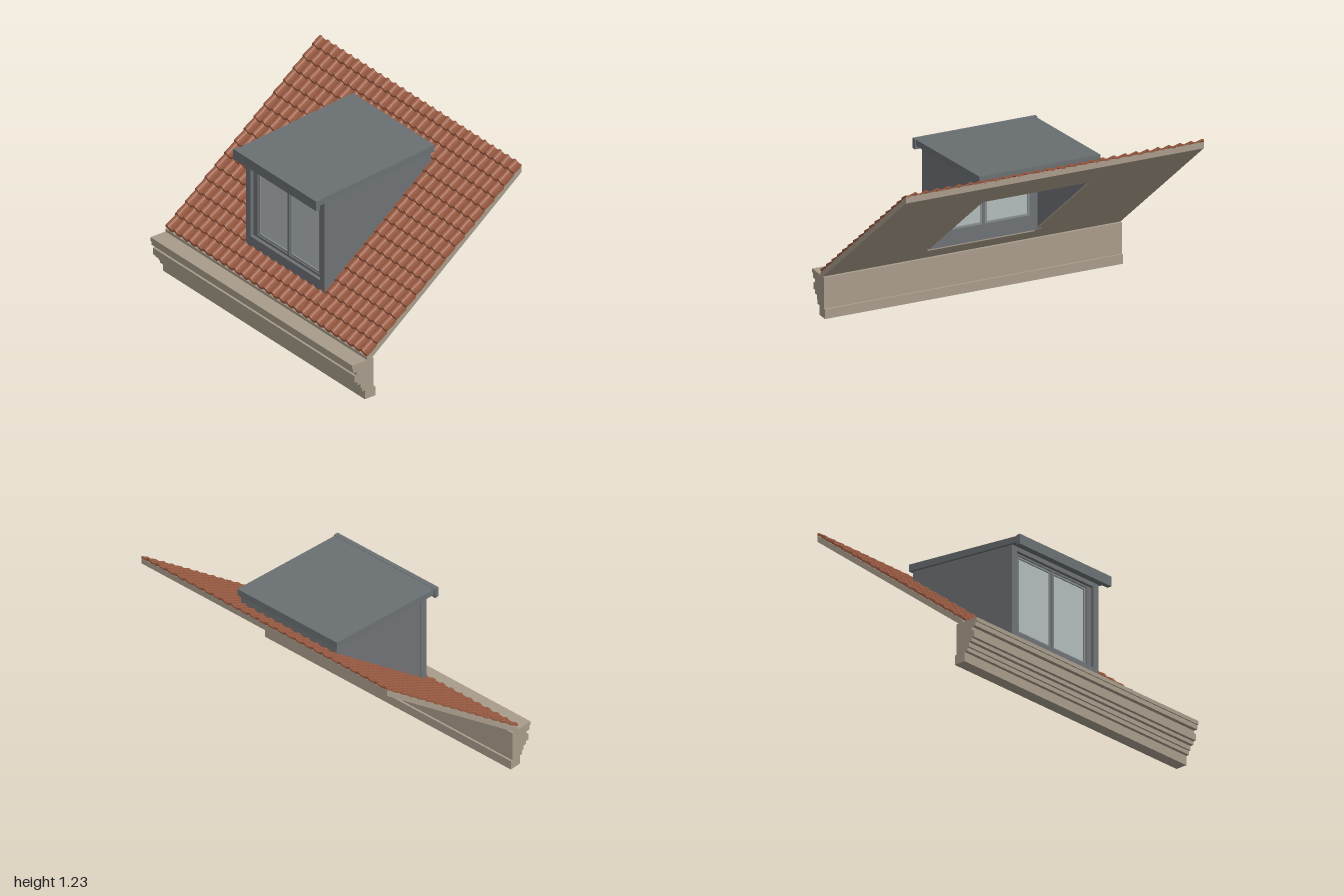
import * as THREE from 'three';

const mat = (name, color, side = THREE.FrontSide) => {
  const m = new THREE.MeshStandardMaterial({ color, side });
  m.name = name;
  return m;
};

const SLOPE = 0.787;
const roofTop = z => 0.70 - SLOPE * z;     // upper face of the roof deck
const roofUnder = z => 0.658 - SLOPE * z;  // lower face of the roof deck

// One pantile profile: [position across the tile, height], with a lap step at the seam
const PROFILE = [[0, 0.6], [0.1, 0.92], [0.2, 1], [0.32, 0.78], [0.45, 0.28], [0.6, 0.02], [0.76, 0], [0.9, 0.12], [1, 0.3]];
const COLUMNS = 27, TILE_W = 2 / COLUMNS, WAVE = 0.013, THICK = 0.016;

function profileHeight(u) {
  let i = 1;
  while (i < PROFILE.length - 1 && PROFILE[i][0] < u) i++;
  const [a, ha] = PROFILE[i - 1], [b, hb] = PROFILE[i];
  return ha + (hb - ha) * (u - a) / (b - a);
}

// Strip of tiles from x0 to x1, cut between zBack and zFront, tilted within its own row
function tileStrip(x0, x1, zBack, zFront, rowFront, pitch) {
  const edge = x => {
    const c = (x + 1) / TILE_W;
    return [x, profileHeight(c - Math.floor(c + 1e-6))];
  };
  const line = [edge(x0)];
  if (x1 > 0.999) line[0] = x0 < -0.999 ? [-1, PROFILE[0][1]] : line[0];
  for (let c = 0; c < COLUMNS; c++) {
    for (const [u, h] of PROFILE) {
      const x = -1 + (c + u) * TILE_W;
      if (x > x0 + 1e-4 && x < x1 - 1e-4) line.push([x, h]);
    }
  }
  line.push(x1 > 0.999 ? [1, 0.3] : edge(x1));
  const top = line.map(([x, h]) => new THREE.Vector2(x, (h - 1) * WAVE));
  const bottom = top.map(p => new THREE.Vector2(p.x, p.y - THICK)).reverse();
  const g = new THREE.ExtrudeGeometry(new THREE.Shape([...top, ...bottom]),
    { depth: zFront - zBack, bevelEnabled: false });
  g.translate(0, 0, zBack);
  const p = g.attributes.position;
  for (let i = 0; i < p.count; i++) {
    const z = p.getZ(i), t = 1 - (rowFront - z) / pitch;
    p.setY(i, p.getY(i) + roofTop(z) + 0.019 + 0.013 * t);
  }
  g.computeVertexNormals();
  return g;
}

// Prism along x from a [z, y] outline
function prismX(points, x0, x1) {
  const shape = new THREE.Shape(points.map(([z, y]) => new THREE.Vector2(-z, y)));
  const g = new THREE.ExtrudeGeometry(shape, { depth: x1 - x0, bevelEnabled: false });
  return g.rotateY(Math.PI / 2).translate(x0, 0, 0);
}

const rect = (Type, x0, y0, x1, y1) => new Type([[x0, y0], [x1, y0], [x1, y1], [x0, y1]].map(a => new THREE.Vector2(...a)));

// Rectangular frame facing +z; outer and inner are [x0, y0, x1, y1]
function frame(outer, inner, zBack, zFront) {
  const s = rect(THREE.Shape, ...outer);
  s.holes.push(rect(THREE.Path, ...inner));
  return new THREE.ExtrudeGeometry(s, { depth: zFront - zBack, bevelEnabled: false }).translate(0, 0, zBack);
}

function box(x0, x1, y0, y1, z0, z1) {
  return new THREE.BoxGeometry(x1 - x0, y1 - y0, z1 - z0)
    .translate((x0 + x1) / 2, (y0 + y1) / 2, (z0 + z1) / 2);
}

export function createModel() {
  const model = new THREE.Group();
  model.name = 'dormerRoof';
  const stone = mat('stone', 0xa89c8b);
  const clay = mat('clayTile', 0x9c5c43);
  const grey = mat('dormerGrey', 0x6f7276);
  const cover = mat('roofCoverGrey', 0x6a7073);
  const sashGrey = mat('sashGrey', 0x868d8f);
  const glass = mat('glass', 0xb3bbbb, THREE.DoubleSide);

  const group = name => {
    const g = new THREE.Group();
    g.name = name;
    model.add(g);
    return g;
  };
  const add = (parent, name, geometry, material) => {
    const m = new THREE.Mesh(geometry, material);
    m.name = name;
    parent.add(m);
  };

  // Stepped cornice under the eaves
  add(model, 'cornice', prismX([
    [0.645, 0.265], [0.645, 0.24], [0.637, 0.24], [0.637, 0.21], [0.61, 0.21], [0.61, 0.185],
    [0.625, 0.185], [0.625, 0.14], [0.605, 0.14], [0.605, 0.117], [0.582, 0.117], [0.582, 0.088],
    [0.57, 0.088], [0.57, 0.062], [0.548, 0.062], [0.548, 0], [0.468, 0], [0.468, 0.062],
    [0.482, 0.062], [0.482, 0.265],
  ], -1, 1), stone);

  // Roof deck around the dormer opening
  const deck = group('roofDeck');
  const back = -0.645, front = 0.53, holeBack = -0.39, holeFront = 0.375, holeX = 0.36;
  const eave = [[0.5, 0.265], [front, 0.265], [front, roofTop(front)]];
  const backEnd = [[back, roofTop(back)], [back, roofUnder(back)]];
  add(deck, 'deckRight', prismX([...eave, ...backEnd], -1, -holeX), stone);
  add(deck, 'deckLeft', prismX([...eave, ...backEnd], holeX, 1), stone);
  add(deck, 'deckFront', prismX([...eave, [holeFront, roofTop(holeFront)], [holeFront, roofUnder(holeFront)]], -holeX, holeX), stone);
  add(deck, 'deckBack', prismX([[holeBack, roofUnder(holeBack)], [holeBack, roofTop(holeBack)], ...backEnd], -holeX, holeX), stone);

  // Overlapping tile rows, left open under the dormer
  const tiles = group('roofTiles');
  const pitch = 0.0744, cutX = 0.375, cutBack = -0.41, cutFront = 0.375;
  for (let row = 0; row < 16; row++) {
    const z1 = front - row * pitch, z0 = Math.max(z1 - pitch, back);
    const strip = (x0, x1, a, b) => add(tiles, 'tileRow', tileStrip(x0, x1, a, b, z1, pitch), clay);
    if (z0 >= cutFront || z1 <= cutBack) {
      strip(-1, 1, z0, z1);
      continue;
    }
    strip(-1, -cutX, z0, z1);
    strip(cutX, 1, z0, z1);
    if (z1 > cutFront + 1e-3) strip(-cutX, cutX, cutFront, z1);
    if (z0 < cutBack - 1e-3) strip(-cutX, cutX, z0, cutBack);
  }

  // Dormer body
  const dormer = group('dormer');
  const ceiling = z => 1.035 + (0.44 - z) * 0.0875;
  const wallFoot = z => roofTop(z) - 0.03;
  const wall = [[0.372, wallFoot(0.372)], [0.372, ceiling(0.372)], [-0.425, ceiling(-0.425)], [-0.425, wallFoot(-0.425)]];
  add(dormer, 'rightWall', prismX(wall, -0.387, -0.36), grey);
  add(dormer, 'leftWall', prismX(wall, 0.36, 0.387), grey);
  add(dormer, 'backWall', prismX([[-0.425, 1.0], [-0.425, ceiling(-0.425)], [-0.392, ceiling(-0.392)], [-0.392, 0.98]], -0.36, 0.36), grey);
  add(dormer, 'dormerRoofSlab', prismX([[0.44, 1.035], [0.44, 1.075], [-0.44, 1.157], [-0.44, 1.112]], -0.405, 0.405), cover);
  add(dormer, 'fascia', box(-0.412, 0.412, 1.012, 1.078, 0.438, 0.468), cover);
  add(dormer, 'frontSurround', frame([-0.39, 0.39, 0.39, 1.041], [-0.345, 0.475, 0.345, 1.012], 0.332, 0.385), grey);

  // Window with two sashes
  const windowGroup = group('window');
  add(windowGroup, 'windowFrame', frame([-0.345, 0.475, 0.345, 1.012], [-0.306, 0.492, 0.306, 1.0], 0.33, 0.362), grey);
  add(windowGroup, 'mullion', box(-0.008, 0.008, 0.492, 1.0, 0.33, 0.362), grey);
  for (const side of [-1, 1]) {
    const a = side < 0 ? -0.306 : 0.008, b = a + 0.298;
    add(windowGroup, 'sash', frame([a, 0.492, b, 1.0], [a + 0.012, 0.504, b - 0.012, 0.988], 0.332, 0.354), sashGrey);
    add(windowGroup, 'pane', box(a + 0.01, b - 0.01, 0.502, 0.99, 0.339, 0.345), glass);
  }
  return model;
}
